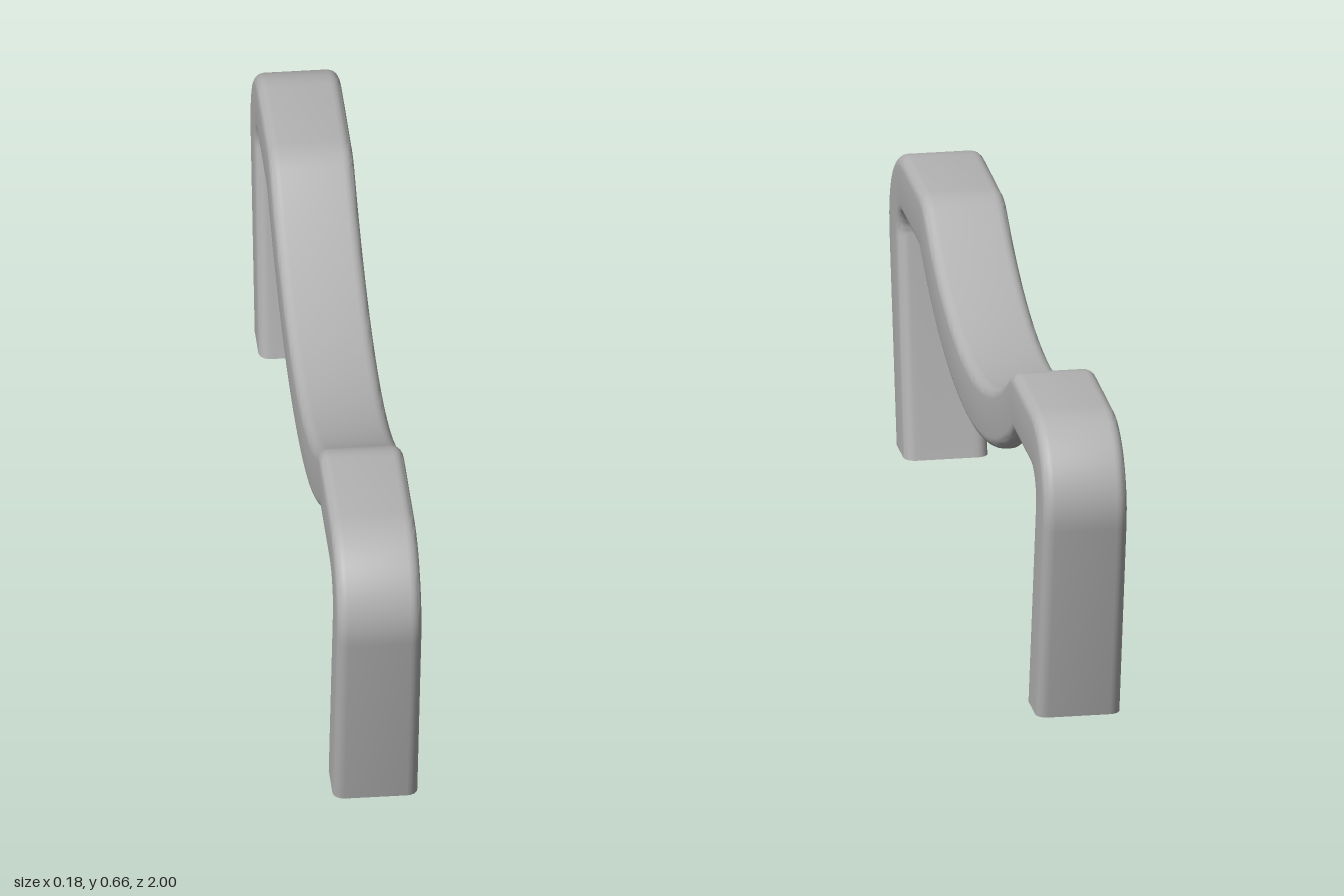
import * as THREE from 'three';
import { toCreasedNormals } from 'three/addons/utils/BufferGeometryUtils.js';

const WIDTH = 0.18, THICK = 0.13, ROUND = 0.024;
const GROOVE_HALF = 0.055, GROOVE_DEPTH = 0.085;
const HOLE_RADIUS = 0.032, HOLE_DEPTH = 0.15;

// Rounded bar section as [x, distance from the inner face], with an optional groove
function section(depth) {
  const pts = [], h = WIDTH / 2 - ROUND;
  const corners = [[h, ROUND, -90], [h, THICK - ROUND, 0], [-h, THICK - ROUND, 90], [-h, ROUND, 180]];
  for (const [cx, cy, start] of corners) {
    for (let i = 0; i <= 5; i++) {
      const a = THREE.MathUtils.degToRad(start + i * 18);
      pts.push([cx + ROUND * Math.cos(a), cy + ROUND * Math.sin(a)]);
    }
  }
  pts.push([-GROOVE_HALF, 0], [-GROOVE_HALF, depth], [GROOVE_HALF, depth], [GROOVE_HALF, 0]);
  return pts;
}

// Stations along the bar: inner and outer points in (z, y), and groove depth
function makeStations() {
  const half = [];
  const add = (iz, iy, oz, oy, d) => half.push({ iz, iy, oz, oy, d });
  const arc = (cz, cy, ri, ro, from, to, n, d) => {
    for (let k = 0; k <= n; k++) {
      const a = THREE.MathUtils.degToRad(from + (to - from) * k / n);
      const c = Math.cos(a), s = Math.sin(a);
      add(cz + ri * c, cy + ri * s, cz + ro * c, cy + ro * s, d);
    }
  };
  const D = GROOVE_DEPTH;
  add(0.773, 0, 0.906, 0, 0);                              // foot
  arc(0.82, 0.48, 0.05, 0.18, -11.5, -11.5, 1, 0);         // top of solid leg
  arc(0.82, 0.48, 0.05, 0.18, -11.5, 90, 14, D);           // shoulder bend
  arc(0.601, 0.53, 0, 0.13, 90, 122.46, 6, D);             // crease into the dip
  arc(0, 1.475, 1.12, 0.99, -57.54, -90, 16, D);           // sagging grip
  const mirrored = half.slice(0, -1).reverse().map(s => ({ ...s, iz: -s.iz, oz: -s.oz }));
  return [...half, ...mirrored];
}

function barGeometry() {
  const stations = makeStations(), pos = [], index = [];
  const n = section(0).length;
  for (const s of stations) {
    for (const [x, v] of section(s.d)) {
      const t = v / THICK;
      pos.push(x, s.iy + (s.oy - s.iy) * t, s.iz + (s.oz - s.iz) * t);
    }
  }
  for (let j = 0; j < stations.length - 1; j++) {
    for (let i = 0; i < n; i++) {
      const a = j * n + i, c = j * n + (i + 1) % n;
      index.push(a, a + n, c, c, a + n, c + n);
    }
  }
  const geo = new THREE.BufferGeometry();
  geo.setAttribute('position', new THREE.Float32BufferAttribute(pos, 3));
  geo.setIndex(index);
  return toCreasedNormals(geo, 0.5);
}

export function createModel() {
  const group = new THREE.Group();
  const metal = new THREE.MeshStandardMaterial({ color: 0xb3b3b3, side: THREE.DoubleSide });
  metal.name = 'grey metal';
  const add = (name, geo) => {
    const mesh = new THREE.Mesh(geo, metal);
    mesh.name = name;
    group.add(mesh);
    return mesh;
  };

  add('handleBar', barGeometry());

  // Feet: flat ends with a blind screw hole
  for (const [side, name] of [[1, 'front'], [-1, 'back']]) {
    const z = side * 0.8395;
    const outline = section(0).slice(0, 24).map(([x, v]) =>
      new THREE.Vector2(x, side * (0.773 + 0.133 * v / THICK)));
    const foot = new THREE.Shape(outline);
    foot.holes.push(new THREE.Path().absarc(0, z, HOLE_RADIUS, 0, Math.PI * 2, true));
    add(name + 'Foot', new THREE.ShapeGeometry(foot, 16).rotateX(Math.PI / 2));
    add(name + 'ScrewHole', new THREE.CylinderGeometry(HOLE_RADIUS, HOLE_RADIUS, HOLE_DEPTH, 32, 1, true))
      .position.set(0, HOLE_DEPTH / 2, z);
    add(name + 'HoleEnd', new THREE.CircleGeometry(HOLE_RADIUS, 32).rotateX(Math.PI / 2))
      .position.set(0, HOLE_DEPTH, z);
  }
  return group;
}
